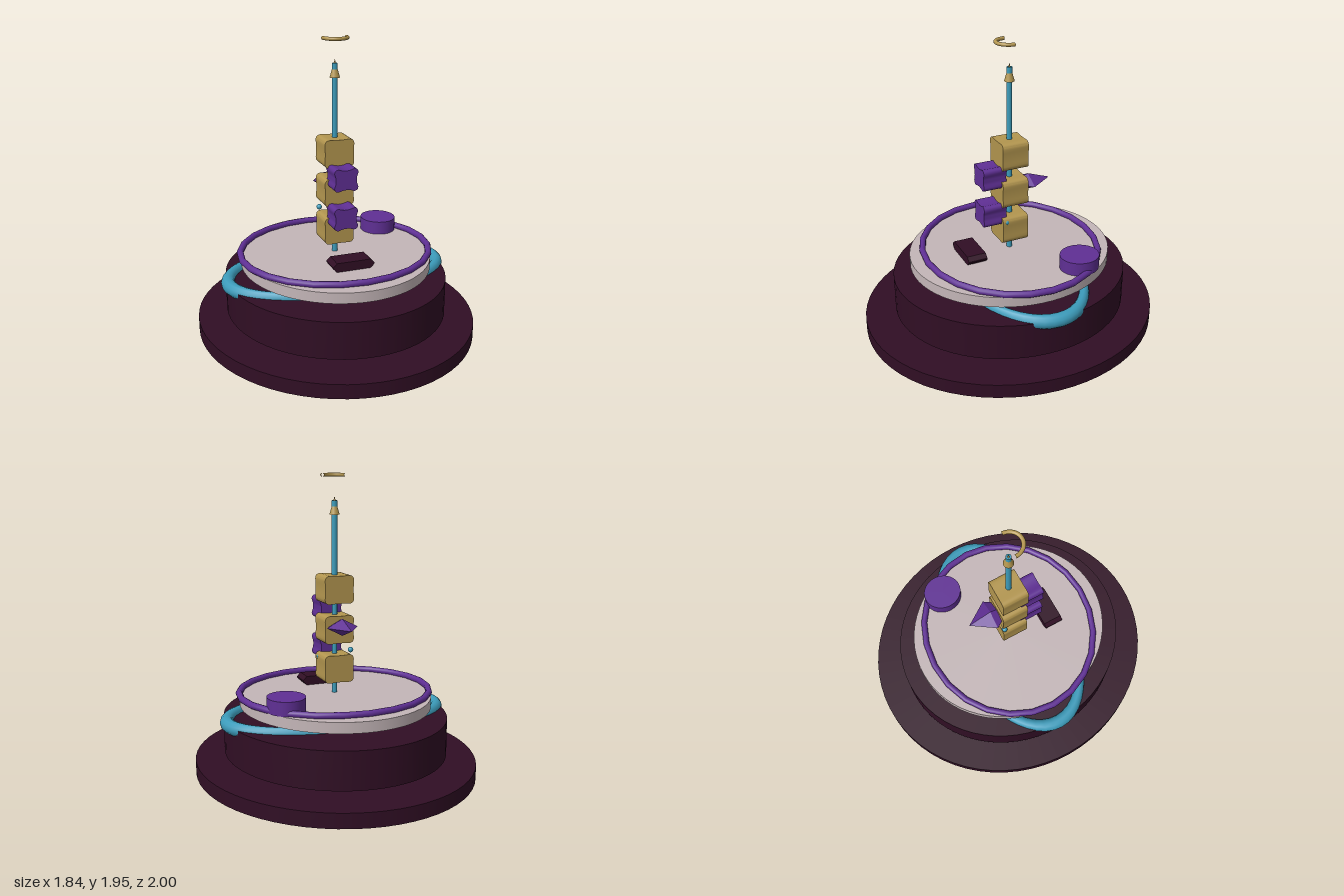
import * as THREE from 'three';
import { toCreasedNormals } from 'three/addons/utils/BufferGeometryUtils.js';

const mat = (name, color) => {
  const m = new THREE.MeshStandardMaterial({ color });
  m.name = name;
  return m;
};

export function createModel() {
  const plum = mat('dark plum', 0x300e24);
  const ivory = mat('ivory', 0xc4b6b8);
  const violet = mat('violet', 0x5f2f94);
  const teal = mat('teal', 0x3c9cbb);
  const gold = mat('gold', 0xb3964f);

  const group = new THREE.Group();
  const add = (name, geometry, material, x = 0, y = 0, z = 0) => {
    const mesh = new THREE.Mesh(geometry, material);
    mesh.name = name;
    mesh.position.set(x, y, z);
    group.add(mesh);
    return mesh;
  };

  // Elliptical disc between two heights
  const disc = (name, material, rx, rz, y0, y1, x = 0, z = 0) =>
    add(name, new THREE.CylinderGeometry(1, 1, y1 - y0, 64).scale(rx, 1, rz), material, x, (y0 + y1) / 2, z);

  // Horizontal ring, stretched along z
  const ring = (name, material, radius, tube, zScale, y, segments, arc = Math.PI * 2) =>
    add(name, new THREE.TorusGeometry(radius, tube, 12, segments, arc).rotateX(Math.PI / 2).scale(1, 1, zScale), material, 0, y, 0);

  // Block with rounded corners in the front outline and sides drawn in by `waist`
  const block = (name, material, w, h, d, r, waist, y, z, steps = 5) => {
    const a = w / 2, b = h / 2;
    const s = new THREE.Shape();
    s.moveTo(-a + r, -b);
    s.quadraticCurveTo(0, -b + waist, a - r, -b);
    s.quadraticCurveTo(a, -b, a, -b + r);
    s.quadraticCurveTo(a - waist, 0, a, b - r);
    s.quadraticCurveTo(a, b, a - r, b);
    s.quadraticCurveTo(0, b - waist, -a + r, b);
    s.quadraticCurveTo(-a, b, -a, b - r);
    s.quadraticCurveTo(-a + waist, 0, -a, -b + r);
    s.quadraticCurveTo(-a, -b, -a + r, -b);
    const g = new THREE.ExtrudeGeometry(s, { depth: d, bevelEnabled: false, curveSegments: steps });
    return add(name, toCreasedNormals(g.translate(0, 0, -d / 2), 0.6), material, 0, y, z);
  };

  // Stacked base
  disc('basePlate', plum, 0.92, 1.0, 0, 0.095);
  disc('plinth', plum, 0.73, 0.795, 0.14, 0.385);
  ring('plinthRing', teal, 0.73, 0.046, 0.568, 0.377, 48);
  disc('topPlate', ivory, 0.625, 0.68, 0.45, 0.52);
  ring('plateRing', violet, 0.635, 0.022, 0.92, 0.534, 24);

  // Details on the top plate
  disc('knob', violet, 0.12, 0.13, 0.52, 0.61, 0.435, -0.295);
  block('frontPlaque', plum, 0.28, 0.06, 0.13, 0.026, 0, 0.55, 0.29, 1);

  // Mast with pointed tip
  add('mast', new THREE.CylinderGeometry(0.018, 0.018, 1.26, 20), teal, 0, 1.15, 0);
  add('mastTip', new THREE.ConeGeometry(0.033, 0.115, 20), gold, 0, 1.7475, 0);

  // Blocks threaded on the mast, with smaller ones in front between them
  for (const y of [0.695, 0.955, 1.215]) block('mastBlock', gold, 0.2, 0.184, 0.18, 0.034, 0.006, y, 0);
  for (const y of [0.813, 1.073]) block('frontBlock', violet, 0.16, 0.148, 0.16, 0.028, 0.022, y, 0.135);

  // Flat faceted spike at the back
  add('backSpike', new THREE.OctahedronGeometry(1).scale(0.105, 0.055, 0.155), violet, 0, 0.98, -0.135);

  // Small beads
  add('bead', new THREE.SphereGeometry(0.018, 16, 12), teal, -0.083, 0.815, -0.075);
  add('bead', new THREE.SphereGeometry(0.018, 16, 12), teal, 0.086, 0.755, 0.06);

  // Half ring floating above the mast
  ring('crownArc', gold, 0.078, 0.012, 1.09, 1.94, 20, Math.PI);

  return group;
}
